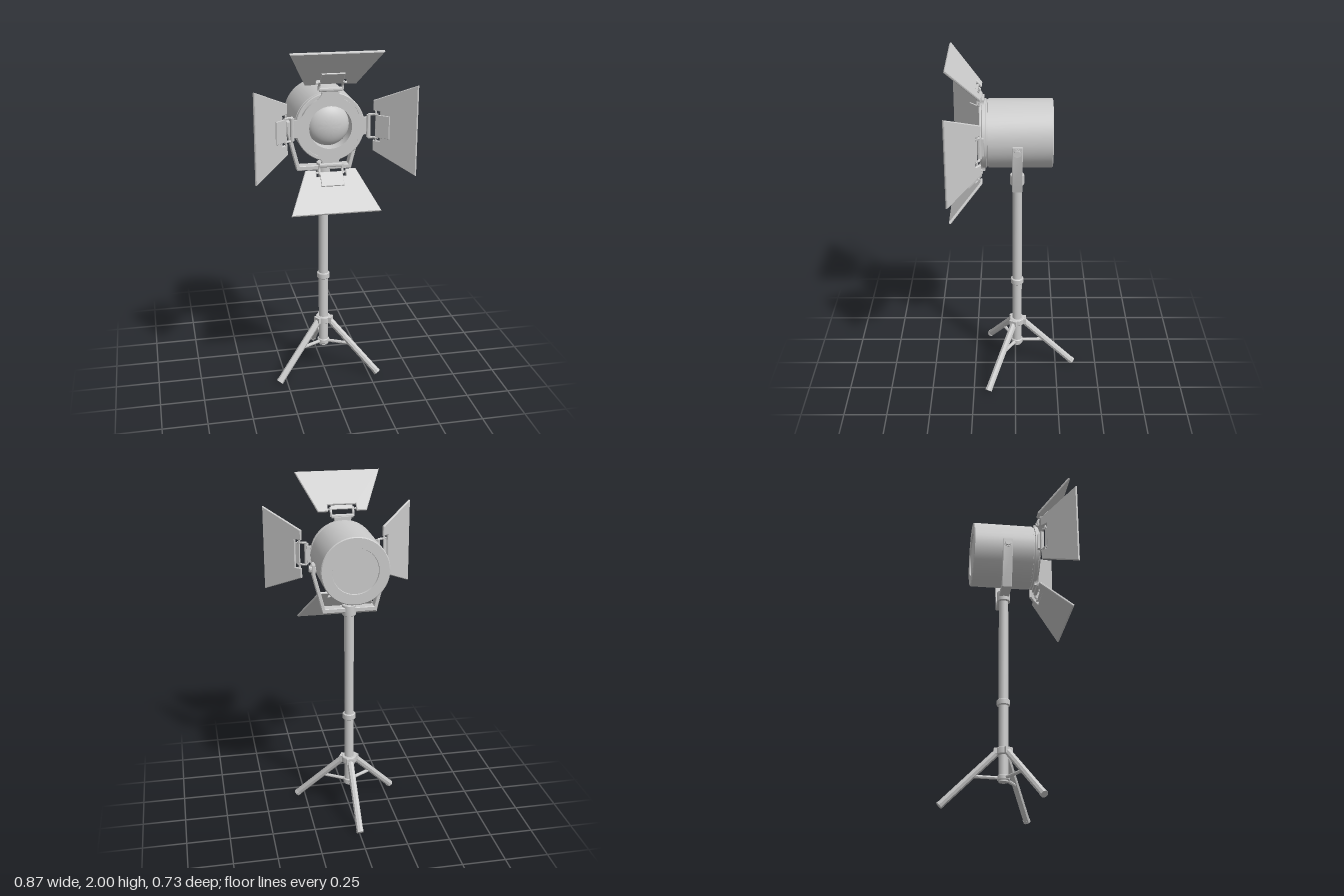
import * as THREE from 'three';
import { toCreasedNormals } from 'three/addons/utils/BufferGeometryUtils.js';

const mat = new THREE.MeshStandardMaterial({ color: 0xcccccc });
const AXIS_Z = -0.01; // stand axis
const LAMP_Y = 1.56; // lamp axis height

function add(parent, name, geo, x = 0, y = 0, z = 0) {
  const m = new THREE.Mesh(toCreasedNormals(geo, 0.6), mat);
  m.name = name;
  m.position.set(x, y, z);
  parent.add(m);
  return m;
}

// Round bar between two points
function bar(parent, name, a, b, r, sides = 10) {
  const p = new THREE.Vector3(...a), q = new THREE.Vector3(...b);
  const d = q.clone().sub(p);
  const m = add(parent, name, new THREE.CylinderGeometry(r, r, d.length(), sides));
  m.position.copy(p).add(q).multiplyScalar(0.5);
  m.quaternion.setFromUnitVectors(new THREE.Vector3(0, 1, 0), d.normalize());
  return m;
}

// Turned part from [radius, height] pairs
const lathe = (pts, seg = 32) =>
  new THREE.LatheGeometry(pts.map(p => new THREE.Vector2(...p)), seg);

// Bevelled sheet centred on z = 0, keeping the outline's size
function sheet(shape, depth, bevel) {
  const g = new THREE.ExtrudeGeometry(shape, {
    depth: depth - 2 * bevel, bevelEnabled: true, bevelThickness: bevel,
    bevelSize: bevel, bevelOffset: -bevel, bevelSegments: 1, curveSegments: 12,
  });
  return g.translate(0, 0, -depth / 2 + bevel);
}

const polygon = pts => new THREE.Shape(pts.map(p => new THREE.Vector2(...p)));

function buildStand() {
  const g = new THREE.Group();
  g.name = 'stand';
  g.position.z = AXIS_Z;
  add(g, 'pole', new THREE.CylinderGeometry(0.028, 0.028, 1.115, 16), 0, 0.7125, 0);

  // Collars along the pole: name, radius, height, centre
  for (const [name, r, h, y] of [
    ['heightClamp', 0.038, 0.036, 0.612], ['legHub', 0.045, 0.04, 0.325],
    ['strutHub', 0.035, 0.03, 0.178], ['headCollar', 0.04, 0.065, 1.28],
  ]) {
    const b = 0.004;
    add(g, name, lathe([[0, -h / 2], [r - b, -h / 2], [r, -h / 2 + b],
      [r, h / 2 - b], [r - b, h / 2], [0, h / 2]], 16), 0, y, 0);
  }

  // Tripod legs and struts
  for (let i = 0; i < 3; i++) {
    const t = new THREE.Group();
    t.name = 'tripodLeg';
    t.rotation.y = Math.PI + i * Math.PI * 2 / 3;
    bar(t, 'leg', [0, 0.328, 0.03], [0, 0.021, 0.338], 0.02, 8);
    bar(t, 'foot', [0, 0.027, 0.332], [0, 0.015, 0.344], 0.0215, 8);
    bar(t, 'strut', [0, 0.178, 0.02], [0, 0.182, 0.18], 0.01, 8);
    add(t, 'legHinge', new THREE.BoxGeometry(0.046, 0.034, 0.04), 0, 0.325, 0.035);
    g.add(t);
  }
  return g;
}

function buildYoke() {
  const g = new THREE.Group();
  g.name = 'yoke';
  g.position.z = AXIS_Z;
  const outer = [[0.155, 1.272], [0.212, 1.5], [0.212, 1.56]];
  const inner = [[0.193, 1.56], [0.193, 1.503], [0.14, 1.298]];
  const right = [...outer, ...inner];
  const left = right.map(([x, y]) => [-x, y]).reverse();
  add(g, 'yokeFrame', sheet(polygon([...right, ...left]), 0.058, 0.003));
  for (const s of [-1, 1]) {
    bar(g, 'pivotWasher', [s * 0.185, 1.53, 0], [s * 0.216, 1.53, 0], 0.024, 16);
    bar(g, 'pivotKnob', [s * 0.21, 1.53, 0], [s * 0.226, 1.53, 0], 0.019, 12);
  }
  return g;
}

function buildLamp() {
  const g = new THREE.Group();
  g.name = 'lampHead';
  g.position.y = LAMP_Y;

  // Can with recessed back and open front
  const can = add(g, 'housing', lathe([
    [0, -0.197], [0.128, -0.197], [0.13, -0.205], [0.186, -0.205], [0.191, -0.2],
    [0.191, 0.147], [0.184, 0.149], [0.184, 0.157], [0.191, 0.159], [0.191, 0.178],
    [0.187, 0.182], [0.172, 0.182], [0.172, 0.17], [0.118, 0.17], [0.118, 0.11], [0, 0.11],
  ], 48));
  can.rotation.x = Math.PI / 2;

  // Domed lens
  const dome = Array.from({ length: 11 }, (_, i) => {
    const a = i / 10 * Math.PI / 2;
    return [0.117 * Math.cos(a), 0.06 * Math.sin(a)];
  });
  const lens = add(g, 'lens', lathe(dome, 40), 0, 0, 0.115);
  lens.rotation.x = Math.PI / 2;

  // Front ring with four flared tabs
  const ring = new THREE.Shape();
  const R = 0.168, spread = 0.44;
  for (let k = 0; k < 4; k++) {
    const a = k * Math.PI / 2, c = Math.cos(a), s = Math.sin(a);
    const at = (r, w) => [r * c - w * s, r * s + w * c];
    const x = R * Math.cos(spread), w = R * Math.sin(spread);
    if (k === 0) ring.moveTo(...at(x, -w));
    ring.quadraticCurveTo(...at(0.175, -0.05), ...at(0.19, -0.046));
    ring.lineTo(...at(0.208, -0.05));
    ring.lineTo(...at(0.208, 0.05));
    ring.lineTo(...at(0.19, 0.046));
    ring.quadraticCurveTo(...at(0.175, 0.05), ...at(x, w));
    ring.absarc(0, 0, R, a + spread, a + Math.PI / 2 - spread, false);
  }
  ring.holes.push(new THREE.Path().absarc(0, 0, 0.118, 0, Math.PI * 2, true));
  add(g, 'frontRing', new THREE.ExtrudeGeometry(ring,
    { depth: 0.024, bevelEnabled: false, curveSegments: 20 }), 0, 0, 0.168);

  for (let k = 0; k < 4; k++) g.add(buildBarnDoor(k * Math.PI / 2));
  return g;
}

// One flap with its hinge, built pointing up and turned about the lamp axis
function buildBarnDoor(angle) {
  const g = new THREE.Group();
  g.name = 'barnDoor';
  g.rotation.z = angle;

  const flap = new THREE.Group();
  flap.name = 'flap';
  flap.position.set(0, 0.238, 0.185);
  flap.rotation.x = Math.atan2(0.18, 0.2);
  const half = [[0.082, 0.042], [0.082, 0], [0.14, 0], [0.247, 0.263]];
  const panel = [...half, ...half.map(([x, y]) => [-x, y]).reverse()];
  add(flap, 'panel', sheet(polygon(panel), 0.015, 0.004));
  const hp = polygon([[-0.063, 0.018], [0.063, 0.018], [0.063, 0.103], [-0.063, 0.103]]);
  add(flap, 'hingePlate', sheet(hp, 0.01, 0.002), 0, 0, 0.01);
  g.add(flap);

  bar(g, 'hingeBarrel', [-0.062, 0.209, 0.191], [0.062, 0.209, 0.191], 0.012, 12);
  for (const s of [-1, 1]) {
    bar(g, 'hingeArm', [s * 0.064, 0.207, 0.191], [s * 0.064, 0.232, 0.194], 0.007, 8);
    bar(g, 'hingeArm', [s * 0.064, 0.23, 0.193], [s * 0.064, 0.256, 0.213], 0.007, 8);
    bar(g, 'hingePin', [s * 0.058, 0.247, 0.204], [s * 0.084, 0.247, 0.204], 0.006, 8);
  }
  return g;
}

export function createModel() {
  const model = new THREE.Group();
  model.name = 'studioSpotlight';
  model.add(buildStand(), buildYoke(), buildLamp());
  return model;
}
